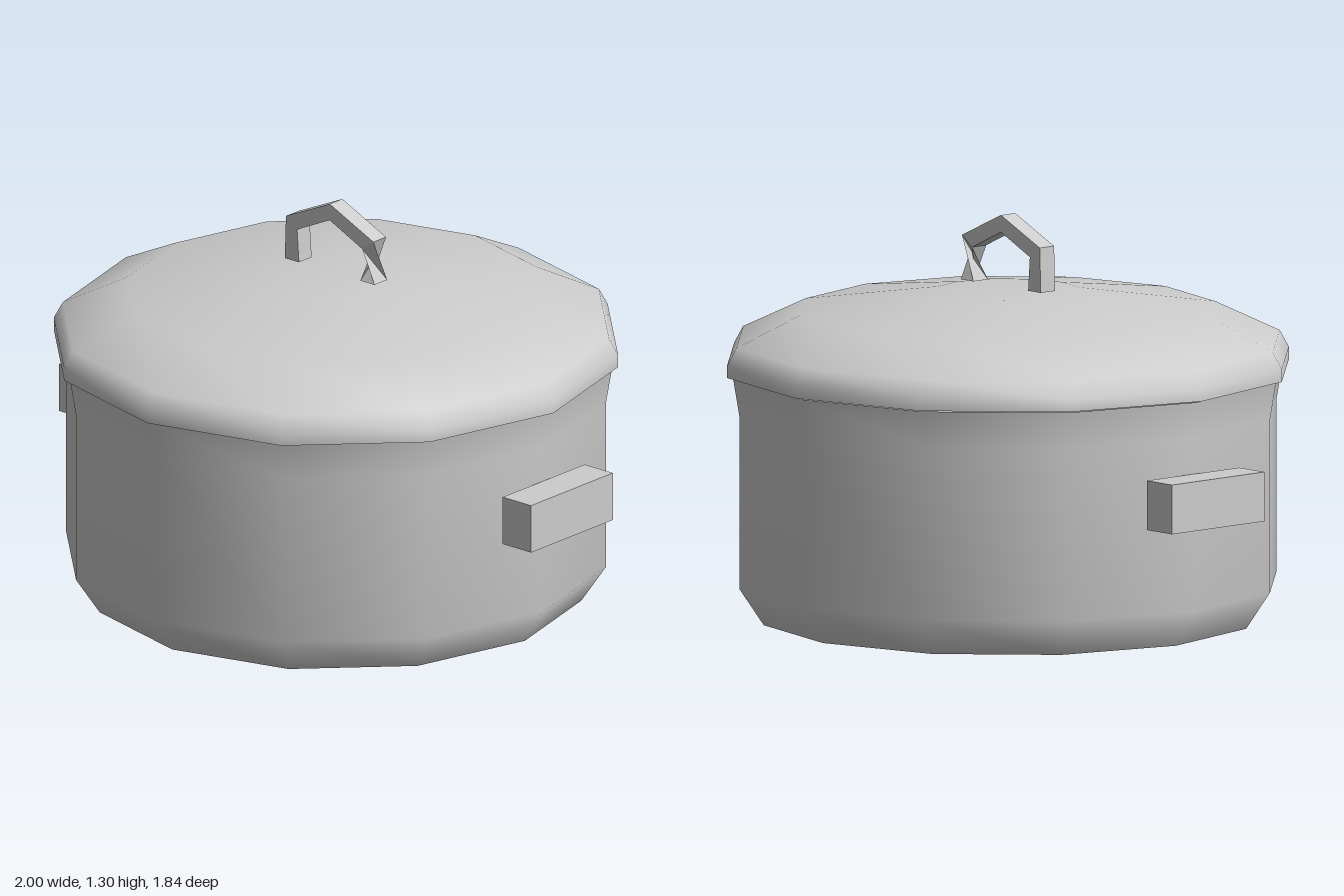
import * as THREE from 'three';

const SIDES = 12;

export function createModel() {
  const metal = new THREE.MeshStandardMaterial({ color: 0xcccccc, side: THREE.DoubleSide });
  metal.name = 'plain grey';
  const pot = new THREE.Group();
  pot.name = 'pot';

  const add = (name, geometry, parent = pot) => {
    const mesh = new THREE.Mesh(geometry, metal);
    mesh.name = name;
    parent.add(mesh);
    return mesh;
  };
  const lathe = (profile) =>
    new THREE.LatheGeometry(profile.map(([r, y]) => new THREE.Vector2(r, y)), SIDES);

  // Body: flat base, chamfered foot, straight wall with a slight flare
  add('base', lathe([[0, 0], [0.8, 0]]));
  add('body', lathe([[0.8, 0], [0.88, 0.12], [0.88, 0.68], [0.9, 0.8]]));

  // Lid: overhanging rim and shallow dome with a flat centre
  const lid = new THREE.Group();
  lid.name = 'lid';
  pot.add(lid);
  add('lidUnderside', lathe([[0, 0.805], [0.92, 0.805]]), lid);
  add('lidDome', lathe([[0.92, 0.805], [0.92, 0.845], [0.89, 0.9], [0.68, 1.0], [0.235, 1.06], [0, 1.06]]), lid);

  // Lid handle just above the dome
  add('lidHandle', handleGeometry(), lid);

  // Side handles
  for (const [name, s] of [['leftHandle', 1], ['rightHandle', -1]]) {
    add(name, new THREE.BoxGeometry(0.12, 0.16, 0.4)).position.set(s * 0.94, 0.485, 0);
  }
  return pot;
}

// Square bar bent through five stations; its last leg twists a quarter turn
function handleGeometry() {
  const d = 0.031;
  const stations = [
    [[-0.19, 1.075], [-0.13, 1.075]],
    [[-0.185, 1.22], [-0.138, 1.185]],
    [[0, 1.305], [0, 1.25]],
    [[0.185, 1.22], [0.138, 1.185]],
    [[0.19, 1.075], [0.13, 1.075]],
  ];
  const loops = stations.map(([o, i]) => [[...o, d], [...o, -d], [...i, -d], [...i, d]]);
  const end = loops[4];
  loops[4] = end.map((_, k) => end[(k + 1) % 4]);

  const positions = [];
  const quad = (a, b, c, e) => positions.push(...a, ...b, ...c, ...a, ...c, ...e);
  for (let s = 0; s < 4; s++) {
    const a = loops[s], b = loops[s + 1];
    for (let k = 0; k < 4; k++) {
      const n = (k + 1) % 4;
      quad(a[k], b[k], b[n], a[n]);
    }
  }
  quad(...loops[0]);
  quad(...[...loops[4]].reverse());

  const geometry = new THREE.BufferGeometry();
  geometry.setAttribute('position', new THREE.Float32BufferAttribute(positions, 3));
  geometry.computeVertexNormals();
  return geometry;
}
